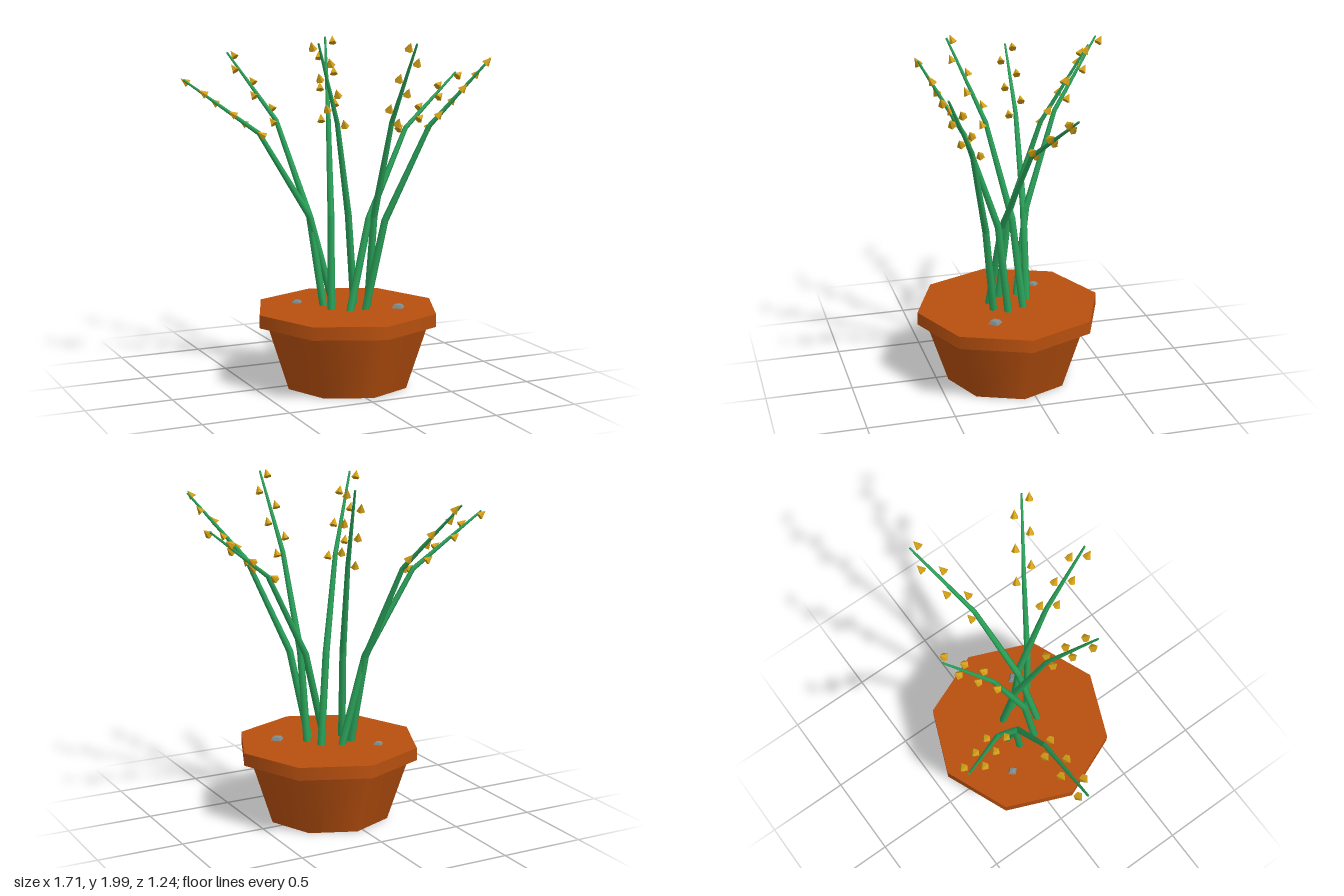
import * as THREE from 'three';

const UP = new THREE.Vector3(0, 1, 0);
const V = (p) => new THREE.Vector3(...p);

const terracotta = new THREE.MeshStandardMaterial({ color: 0xb8500f });
const green = new THREE.MeshStandardMaterial({ color: 0x2aa35a });
const yellow = new THREE.MeshStandardMaterial({ color: 0xd4a017, flatShading: true });
const stone = new THREE.MeshStandardMaterial({ color: 0x7f8c8d, flatShading: true });

function add(parent, name, geometry, material, position) {
  const mesh = new THREE.Mesh(geometry, material);
  mesh.name = name;
  mesh.position.copy(position);
  parent.add(mesh);
  return mesh;
}

// Each stem runs from the soil through two knees to its tip
const STEMS = [
  [[0.01, 0.44, -0.05], [-0.13, 0.97, -0.07], [-0.425, 1.46, -0.105], [-0.85, 1.77, -0.155]],
  [[-0.07, 0.44, -0.01], [-0.125, 0.97, -0.085], [-0.245, 1.51, -0.29], [-0.43, 1.89, -0.595]],
  [[-0.07, 0.44, 0.1], [-0.045, 0.98, 0.04], [0.015, 1.53, -0.13], [0.105, 1.98, -0.375]],
  [[0.12, 0.44, 0], [0.06, 0.98, 0.05], [-0.065, 1.53, 0.17], [-0.255, 1.98, 0.345]],
  [[0.01, 0.44, 0.18], [0.15, 0.97, 0.135], [0.43, 1.47, 0.04], [0.83, 1.77, -0.095]],
  [[0.11, 0.44, 0.175], [0.2, 0.97, 0.24], [0.41, 1.51, 0.365], [0.69, 1.89, 0.55]],
  [[0.16, 0.44, 0.1], [0.17, 0.98, 0.16], [0.185, 1.54, 0.35], [0.205, 1.98, 0.605]],
];
const RADII = [0.022, 0.02, 0.014, 0.006];

function createStem(points) {
  const stem = new THREE.Group();
  stem.name = 'stem';
  const p = points.map(V);

  // Tapering segments
  for (let i = 0; i < 3; i++) {
    const dir = p[i + 1].clone().sub(p[i]);
    const seg = add(stem, 'stemSegment',
      new THREE.CylinderGeometry(RADII[i + 1], RADII[i], dir.length() + 0.004, 6),
      green, p[i].clone().lerp(p[i + 1], 0.5));
    seg.quaternion.setFromUnitVectors(UP, dir.normalize());
  }

  // Buds alternate from side to side along the last segment
  const dir = p[3].clone().sub(p[2]).normalize();
  const side = UP.clone().cross(dir).normalize();
  for (let i = 0; i < 6; i++) {
    const at = p[2].clone().lerp(p[3], i * 0.195)
      .addScaledVector(side, i % 2 ? -0.042 : 0.042);
    const bud = add(stem, 'bud', new THREE.ConeGeometry(0.025, 0.05, 5), yellow, at);
    bud.quaternion.setFromUnitVectors(UP, dir);
  }
  return stem;
}

export function createModel() {
  const model = new THREE.Group();
  model.name = 'pottedPlant';

  // Octagonal pot with a wider rim filled to the top
  const pot = new THREE.Group();
  pot.name = 'pot';
  pot.position.set(0.04, 0, 0.07);
  add(pot, 'potBody', new THREE.CylinderGeometry(0.49, 0.365, 0.38, 8), terracotta, V([0, 0.19, 0]));
  add(pot, 'potRim', new THREE.CylinderGeometry(0.54, 0.54, 0.075, 8), terracotta, V([0, 0.4125, 0]));
  model.add(pot);

  for (const points of STEMS) model.add(createStem(points));

  // Pebbles half sunk in the top
  for (const [x, z, r] of [[0.3, 0.215, 0.042], [-0.18, -0.145, 0.032]]) {
    const pebble = add(model, 'pebble', new THREE.SphereGeometry(r, 4, 4), stone, V([x, 0.45, z]));
    pebble.scale.y = 0.6;
  }
  return model;
}
